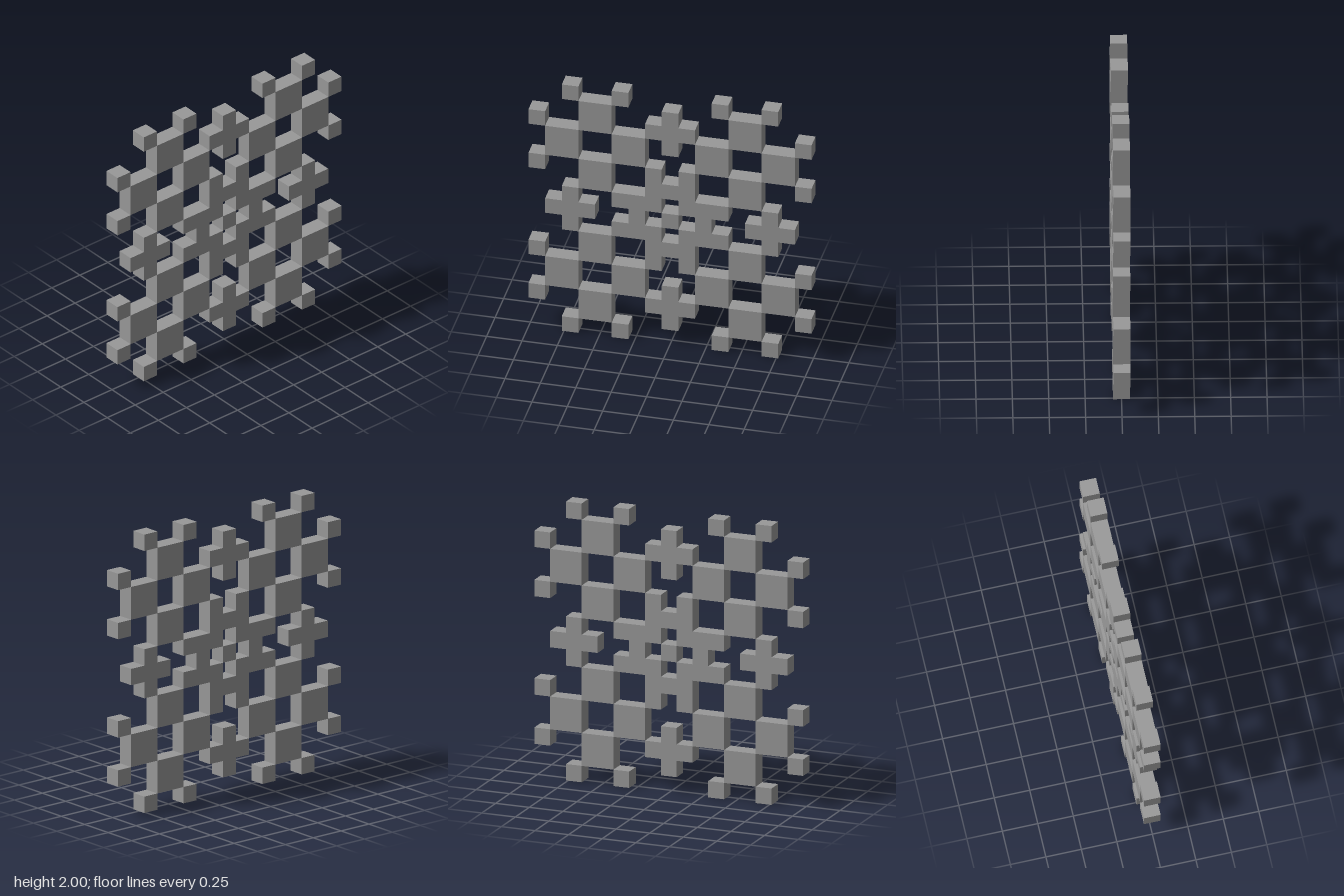
import * as THREE from 'three';

const U = 2 / 17; // one grid cell

export function createModel() {
  const model = new THREE.Group();
  const grey = new THREE.MeshStandardMaterial({ color: 0x999999 });
  grey.name = 'grey';

  const add = (geometry, name, x, y) => {
    const mesh = new THREE.Mesh(geometry, grey);
    mesh.name = name;
    mesh.position.set(x * U, 1 + y * U, 0);
    model.add(mesh);
  };

  // Repeats a quarter outline, given in cells, around the centre
  const fourfold = (quarter) => {
    const points = [];
    for (let k = 0; k < 4; k++) {
      for (const [x, y] of quarter) {
        const [px, py] = [[x, y], [-y, x], [-x, -y], [y, -x]][k];
        points.push(new THREE.Vector2(px * U, py * U));
      }
    }
    return points;
  };
  const extrude = (shape) =>
    new THREE.ExtrudeGeometry(shape, { depth: U, bevelEnabled: false }).translate(0, 0, -U / 2);

  const plus = fourfold([[1.5, 0.5], [0.5, 0.5], [0.5, 1.5]]);
  const smallCube = new THREE.BoxGeometry(U, U, U);
  const largeBlock = new THREE.BoxGeometry(2 * U, 2 * U, U);
  const crossPiece = extrude(new THREE.Shape(plus));

  // Central ring with a plus-shaped opening and a cube in the middle
  const ring = new THREE.Shape(fourfold([
    [2.5, 0.5], [3.5, 0.5], [3.5, 1.5], [1.5, 1.5], [1.5, 3.5], [0.5, 3.5], [0.5, 2.5],
  ]));
  ring.holes.push(new THREE.Path(plus));
  add(extrude(ring), 'centreRing', 0, 0);
  add(smallCube, 'centreCube', 0, 0);

  // Crosses in the middle of each side
  for (const [x, y] of [[6, 0], [0, 6], [-6, 0], [0, -6]]) add(crossPiece, 'sideCross', x, y);

  // Four mirrored corner clusters: large blocks around a gap, tipped with cubes
  for (const sx of [-1, 1]) {
    for (const sy of [-1, 1]) {
      for (const [x, y] of [[4.5, 6.5], [6.5, 4.5], [2.5, 4.5], [4.5, 2.5]])
        add(largeBlock, 'cornerBlock', sx * x, sy * y);
      for (const [x, y] of [[3, 8], [6, 8], [8, 6], [8, 3]])
        add(smallCube, 'tipCube', sx * x, sy * y);
    }
  }
  return model;
}
